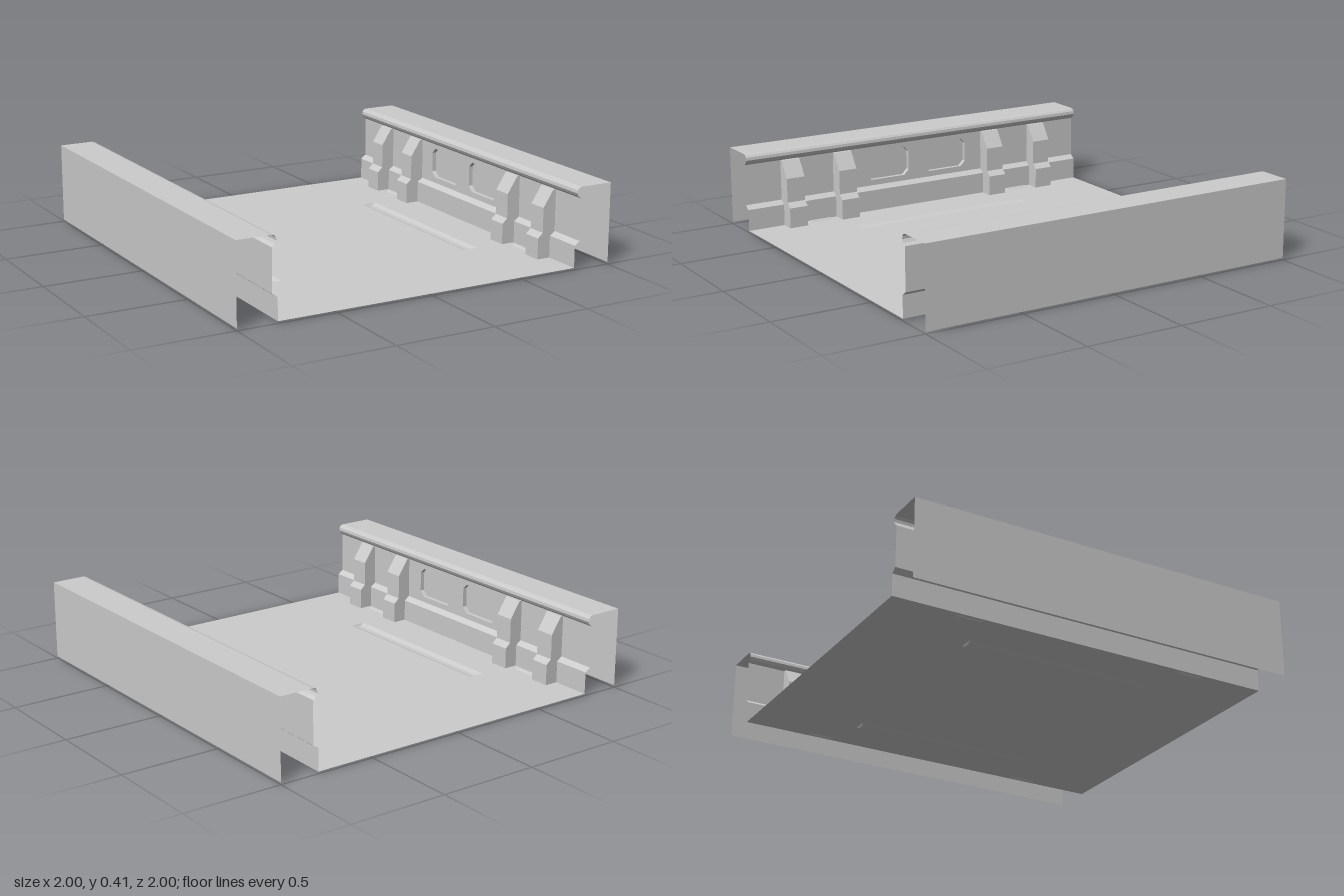
import * as THREE from 'three';

const FLOOR = 0.01, WALL_X = 0.827;
const material = new THREE.MeshStandardMaterial({ color: 0xcccccc, flatShading: true, side: THREE.DoubleSide });

function add(parent, name, geometry) {
  const mesh = new THREE.Mesh(geometry, material);
  mesh.name = name;
  parent.add(mesh);
  return mesh;
}

const shapeOf = (pts) => new THREE.Shape(pts.map(([x, y]) => new THREE.Vector2(x, y)));

// Open sheet joining two matching rows of 3D points
function sheet(rowA, rowB) {
  const pos = [];
  for (let i = 0; i < rowA.length - 1; i++) {
    const [a, b, c, d] = [rowA[i], rowA[i + 1], rowB[i + 1], rowB[i]];
    pos.push(...a, ...b, ...c, ...a, ...c, ...d);
  }
  const g = new THREE.BufferGeometry();
  g.setAttribute('position', new THREE.Float32BufferAttribute(pos, 3));
  g.computeVertexNormals();
  return g;
}

// Sheet with an (x, y) profile running along z
const runAlongZ = (profile, z0, z1) =>
  sheet(profile.map(([x, y]) => [x, y, z1]), profile.map(([x, y]) => [x, y, z0]));

const rectangle = (x0, x1, y0, y1) => [[x0, y0], [x1, y0], [x1, y1], [x0, y1]];

// Rectangle with its corners cut off
const octagon = (x0, x1, y0, y1, c) => [
  [x0 + c, y0], [x1 - c, y0], [x1, y0 + c], [x1, y1 - c],
  [x1 - c, y1], [x0 + c, y1], [x0, y1 - c], [x0, y0 + c]];

// Shallow tray with sloping sides, set into an opening in the floor
function addTray(parent, name, x0, x1, z0, z1, level, insetX, insetZ) {
  const rim = rectangle(x0, x1, z0, z1).map(([x, z]) => [x, FLOOR, z]);
  const base = rectangle(x0 + insetX, x1 - insetX, z0 + insetZ, z1 - insetZ).map(([x, z]) => [x, level, z]);
  add(parent, name + 'Sides', sheet([...rim, rim[0]], [...base, base[0]]));
  add(parent, name + 'Base', sheet([base[0], base[1]], [base[3], base[2]]));
}

function buildSide() {
  const side = new THREE.Group();

  // Skirting, and the upper casing with its rolled lip
  add(side, 'skirting', runAlongZ([[0.8, FLOOR], [0.8, 0.12], [WALL_X, 0.14]], -1, 1));
  add(side, 'casing', runAlongZ([[WALL_X, 0.35], [0.812, 0.362], [0.804, 0.377], [0.806, 0.392],
    [0.815, 0.403], [0.83, 0.407], [1, 0.407], [1, FLOOR]], -1, 1));

  // Inner wall with two eight-sided recesses
  const wall = shapeOf(rectangle(-1, 1, 0.14, 0.35));
  for (const [z0, z1] of [[-0.3, -0.05], [0.05, 0.3]]) {
    const outline = octagon(z0, z1, 0.17, 0.325, 0.027);
    wall.holes.push(shapeOf(outline));
    const ring = [...outline, outline[0]];
    add(side, 'recessRim', sheet(ring.map(([z, y]) => [WALL_X, y, z]), ring.map(([z, y]) => [0.85, y, z])));
    const back = new THREE.ShapeGeometry(shapeOf(outline)).rotateY(-Math.PI / 2);
    add(side, 'recessBack', back).position.x = 0.85;
  }
  add(side, 'innerWall', new THREE.ShapeGeometry(wall).rotateY(-Math.PI / 2)).position.x = WALL_X;

  // Stepped pillars, in pairs near each end
  const pillar = new THREE.ExtrudeGeometry(shapeOf([[0.8, FLOOR], [0.8, 0.12], [WALL_X, 0.14], [WALL_X, 0.35],
    [0.812, 0.35], [0.757, 0.265], [0.757, 0.14], [0.73, 0.115], [0.73, FLOOR]]), { depth: 0.1, bevelEnabled: false });
  for (const z of [-0.8, -0.5, 0.4, 0.7]) add(side, 'pillar', pillar).position.z = z;

  // Long floor channel and the small raised slots between the pillars
  addTray(side, 'floorChannel', 0.51, 0.588, -0.49, 0.49, 0, 0.025, 0.006);
  for (const z of [-0.665, 0.535]) addTray(side, 'floorSlot', 0.765, 0.79, z, z + 0.13, 0.018, 0.007, 0.006);
  return side;
}

export function createModel() {
  const model = new THREE.Group();
  model.name = 'corridorSection';

  // Floor, opened where the channels and slots sit
  const floor = shapeOf(rectangle(-0.8, 0.8, -1, 1));
  for (const s of [-1, 1]) {
    for (const [x0, x1, z0, z1] of [[0.51, 0.588, -0.49, 0.49], [0.765, 0.79, -0.665, -0.535], [0.765, 0.79, 0.535, 0.665]]) {
      floor.holes.push(shapeOf(rectangle(s * x0, s * x1, z0, z1)));
    }
  }
  add(model, 'floor', new THREE.ShapeGeometry(floor).rotateX(-Math.PI / 2)).position.y = FLOOR;

  // Mirrored side walls
  for (const [name, s] of [['leftSide', 1], ['rightSide', -1]]) {
    const side = buildSide();
    side.name = name;
    side.scale.x = s;
    model.add(side);
  }
  return model;
}
